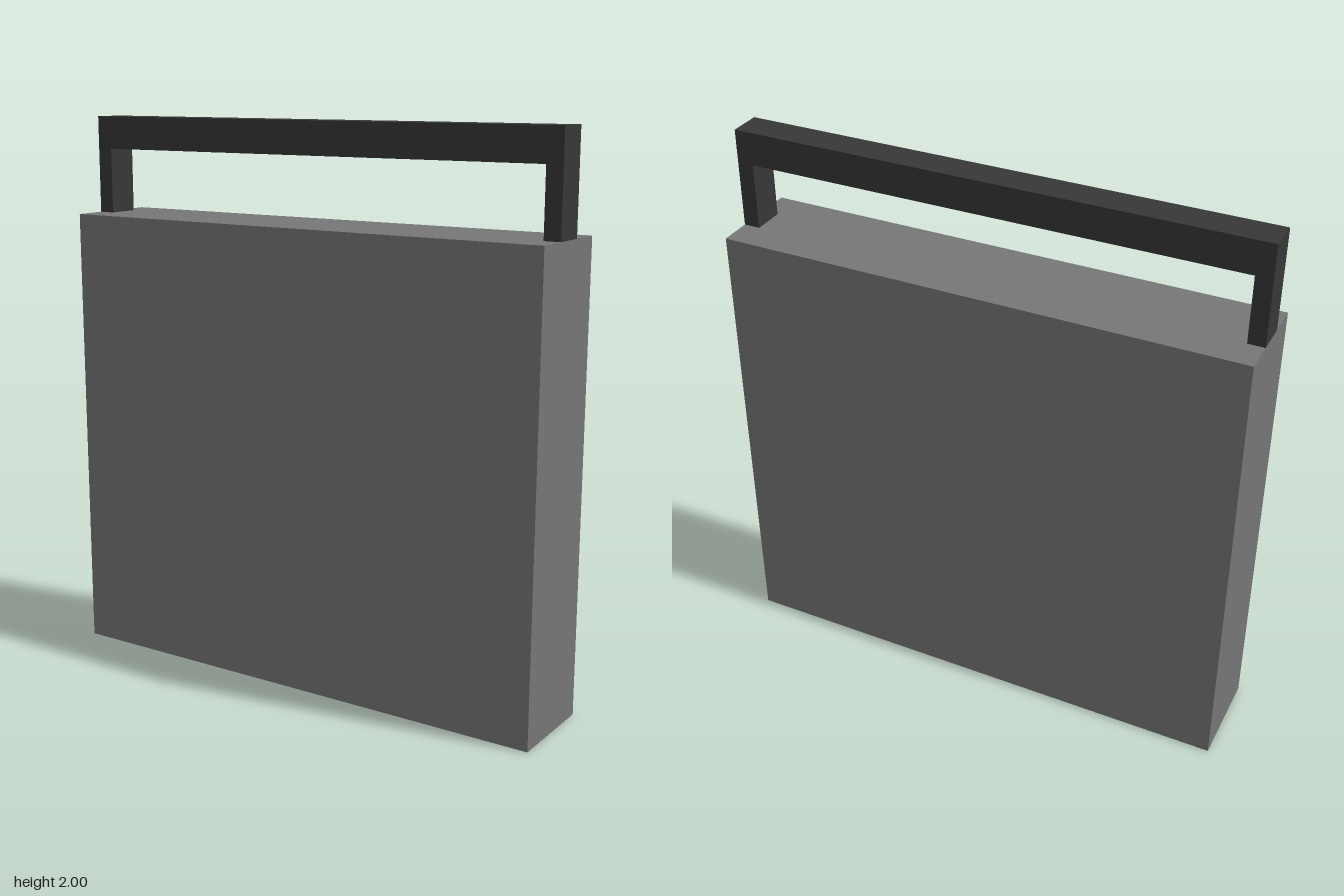
import * as THREE from 'three';

export function createModel() {
  const model = new THREE.Group();
  model.name = 'carryCase';

  const caseGrey = new THREE.MeshStandardMaterial({ name: 'caseGrey', color: 0x767676 });
  const handleCharcoal = new THREE.MeshStandardMaterial({ name: 'handleCharcoal', color: 0x373737 });

  // The whole design sits on a grid of 17 units over its height
  const u = 2 / 17;

  function box(name, material, parent, [w, h, d], [x, bottom, z]) {
    const mesh = new THREE.Mesh(new THREE.BoxGeometry(w * u, h * u, d * u), material);
    mesh.name = name;
    mesh.position.set(x * u, (bottom + h / 2) * u, z * u);
    parent.add(mesh);
  }

  // Case body
  box('caseBody', caseGrey, model, [16, 14, 3], [0, 0, 0]);

  // Carrying handle: two posts and a grip bar
  const handle = new THREE.Group();
  handle.name = 'handle';
  model.add(handle);
  for (const [side, sign] of [['left', 1], ['right', -1]]) {
    box(side + 'HandlePost', handleCharcoal, handle, [0.5, 2, 1], [sign * 7.75, 14, 0]);
  }
  box('handleGrip', handleCharcoal, handle, [16, 1, 1], [0, 16, 0]);

  return model;
}
